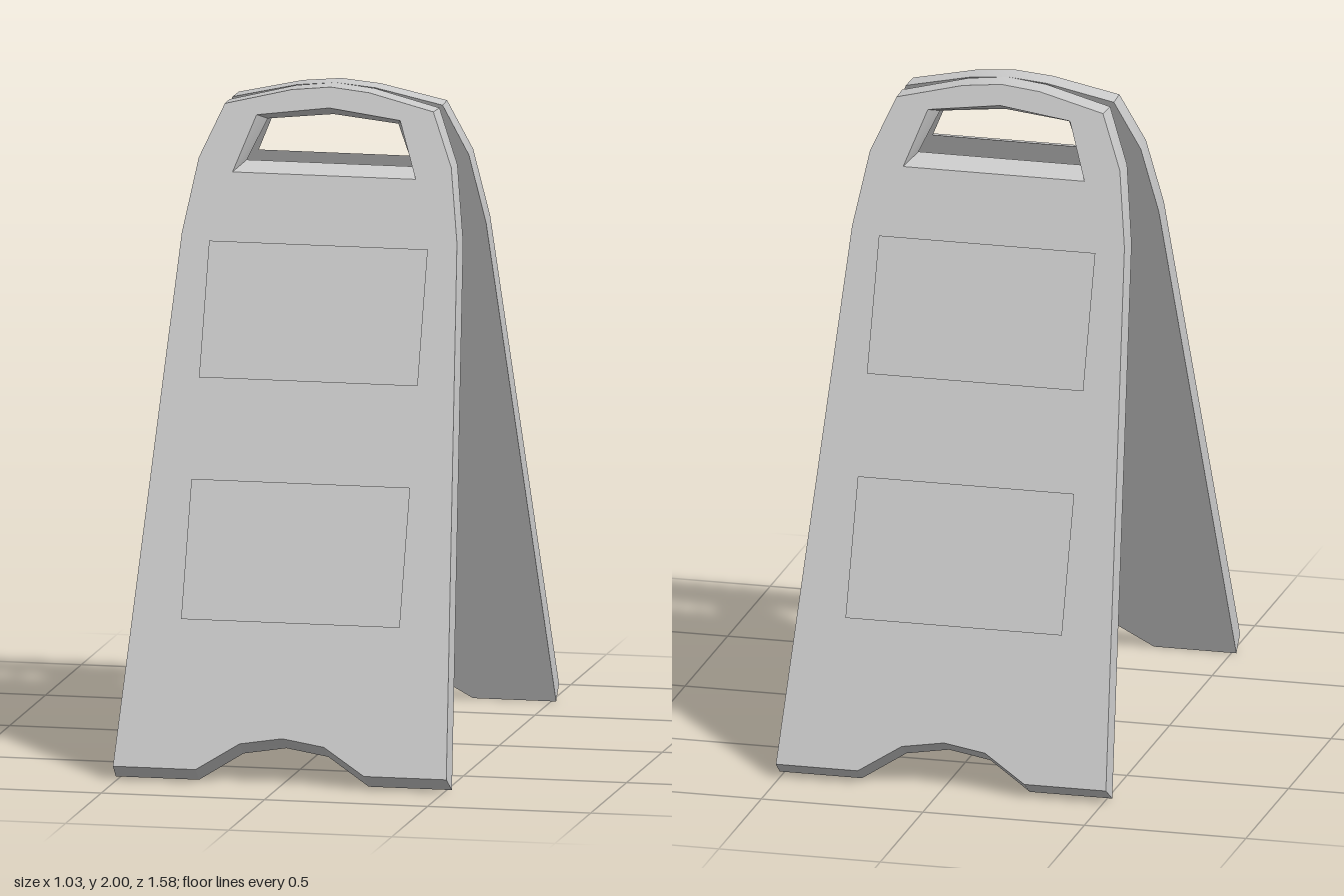
import * as THREE from 'three';
import { toCreasedNormals } from 'three/addons/utils/BufferGeometryUtils.js';

const SLOPE = 0.364;      // outward lean of each board
const THICK = 0.075;      // board thickness measured along z
const material = new THREE.MeshStandardMaterial({ color: 0xcccccc });
const labelMaterial = new THREE.MeshStandardMaterial({ color: 0xcccccc, side: THREE.DoubleSide });

// Mirror a right-hand half profile (first and last points lie on x = 0)
function mirrored(half) {
  const left = half.slice(1, -1).reverse().map(([x, y]) => [-x, y]);
  return [...half, ...left].map(([x, y]) => new THREE.Vector2(x, y));
}

// Leaning board with arched foot, shouldered top and flared handle opening
function boardGeometry() {
  const shape = new THREE.Shape(mirrored([
    [0, 0.1], [0.13, 0.08], [0.26, 0], [0.515, 0], [0.425, 1.56],
    [0.39, 1.78], [0.322, 1.94], [0.12, 1.988], [0, 2],
  ]));
  shape.holes.push(new THREE.Path(mirrored([
    [0, 1.77], [0.255, 1.77], [0.2, 1.89], [0, 1.91],
  ])));
  const geo = new THREE.ExtrudeGeometry(shape, { depth: 1, bevelEnabled: false });
  const p = geo.attributes.position;
  for (let i = 0; i < p.count; i++) {
    let x = p.getX(i), y = p.getY(i);
    const outer = p.getZ(i) > 0.5;
    if (outer) {
      if (Math.abs(x) < 0.3 && y > 1.7 && y < 1.93) {
        x *= 1.1;                              // handle opening widens outward
        y = 1.83 + (y - 1.83) * 1.38;
      } else {
        x *= 0.992;                            // outer rim is cut back at the foot
        y = 0.042 + y * 0.979;
      }
    }
    p.setXYZ(i, x, y, SLOPE * (2 - y) + (outer ? THICK : 0));
  }
  return toCreasedNormals(geo, 0.3);
}

// Flat label field lying just proud of the outer face
function labelField(y0, y1) {
  const height = y1 - y0, y = (y0 + y1) / 2;
  const tilt = Math.atan(SLOPE);
  const mesh = new THREE.Mesh(new THREE.PlaneGeometry(0.67, height / Math.cos(tilt)), labelMaterial);
  mesh.rotation.x = -tilt;
  mesh.position.set(0, y, SLOPE * (2 - y) + THICK + 0.006);
  return mesh;
}

export function createModel() {
  const model = new THREE.Group();
  model.name = 'foldingFloorSign';
  const geometry = boardGeometry();

  for (const [name, turn] of [['front', 0], ['back', Math.PI]]) {
    const panel = new THREE.Group();
    panel.name = name + 'Panel';
    const board = new THREE.Mesh(geometry, material);
    board.name = name + 'Board';
    const upper = labelField(1.16, 1.55);
    upper.name = name + 'UpperLabel';
    const lower = labelField(0.47, 0.87);
    lower.name = name + 'LowerLabel';
    panel.add(board, upper, lower);
    panel.rotation.y = turn;
    model.add(panel);
  }
  return model;
}
